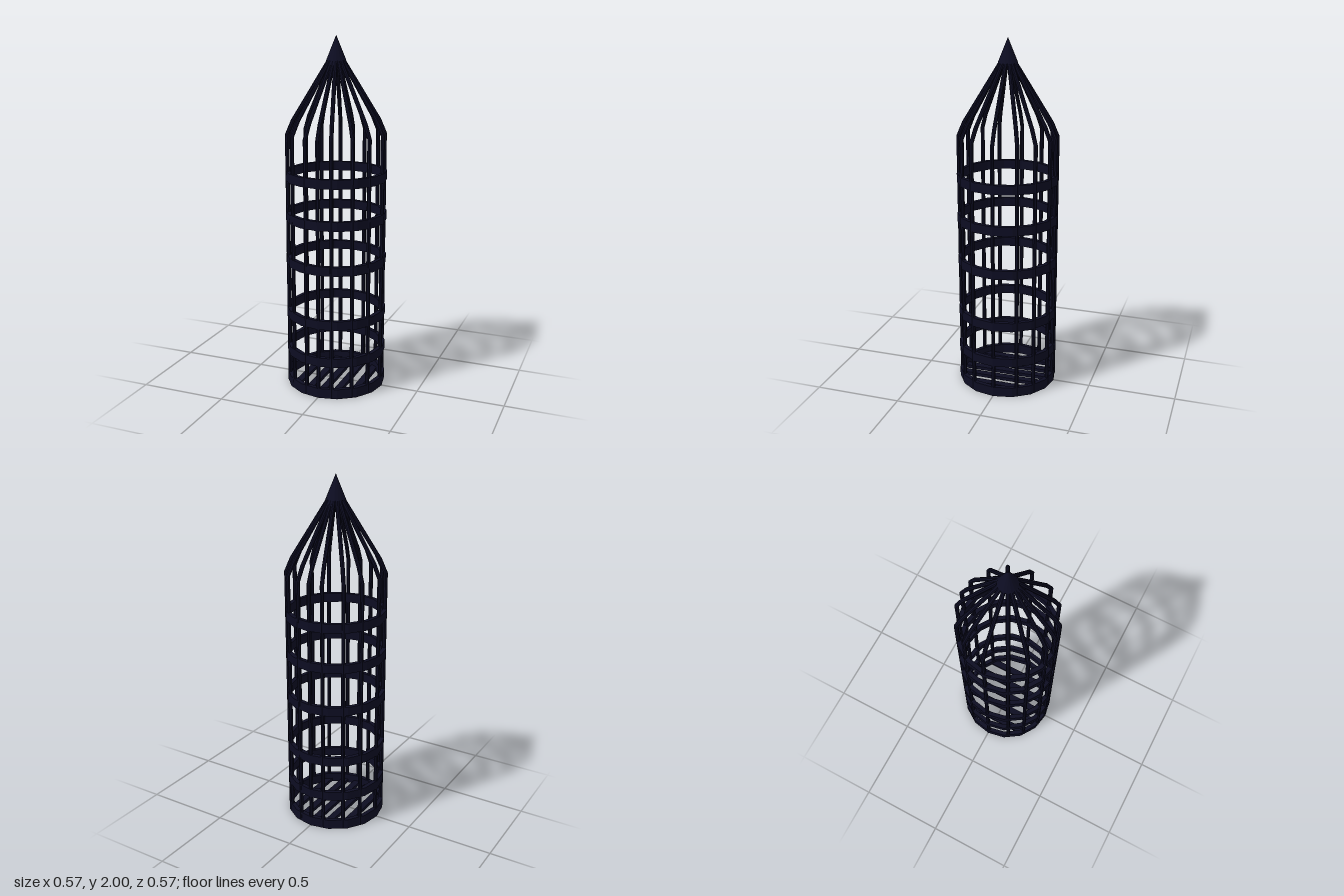
import * as THREE from 'three';

const RING_R = 0.285, RING_INNER = 0.26, BAR_R = 0.272;

// 16-sided outline with corners on the axes
function polygon(PathType, radius) {
  const path = new PathType();
  for (let i = 0; i < 16; i++) {
    const a = (i * Math.PI) / 8;
    path[i ? 'lineTo' : 'moveTo'](radius * Math.cos(a), radius * Math.sin(a));
  }
  path.closePath();
  return path;
}

// flat band lying around the y axis, base at y = 0
function ringGeometry(height) {
  const shape = polygon(THREE.Shape, RING_R);
  shape.holes.push(polygon(THREE.Path, RING_INNER));
  return new THREE.ExtrudeGeometry(shape, { depth: height, bevelEnabled: false })
    .rotateX(-Math.PI / 2);
}

// upright bar that bends inward to the apex; each row is [radius, y, radial stretch]
function barGeometry() {
  const rows = [[BAR_R, 0.005, 1], [BAR_R, 1.465, 1.05], [0.237, 1.545, 1.15], [0.012, 1.91, 1.15]];
  const r = 0.0115, n = rows.length - 1;
  const geo = new THREE.CylinderGeometry(r, r, n, 8, n);
  const p = geo.attributes.position;
  for (let i = 0; i < p.count; i++) {
    const [radius, y, stretch] = rows[Math.round(p.getY(i) + n / 2)];
    p.setXYZ(i, radius + p.getX(i) * stretch, y, p.getZ(i));
  }
  geo.computeVertexNormals();
  return geo;
}

export function createModel() {
  const group = new THREE.Group();
  group.name = 'cage';
  const iron = new THREE.MeshStandardMaterial({ color: 0x0d0d22, flatShading: true });
  iron.name = 'dark iron';

  const add = (name, geometry, y = 0) => {
    const mesh = new THREE.Mesh(geometry, iron);
    mesh.name = name;
    mesh.position.y = y;
    group.add(mesh);
    return mesh;
  };

  // base ring and hoops
  add('baseRing', ringGeometry(0.057));
  const hoop = ringGeometry(0.052);
  [0.216, 0.437, 0.75, 1.003, 1.234].forEach((y, i) => add('hoop' + (i + 1), hoop, y - 0.026));

  // sixteen bars, slightly unevenly spaced in each quarter
  const bar = barGeometry();
  const quarter = [16, 40, 62, 90];
  const angles = [
    ...quarter, ...quarter.slice(0, 3).map((a) => 180 - a), 180,
    ...quarter.map((a) => -a), ...quarter.slice(0, 3).map((a) => a - 180), 0,
  ];
  angles.forEach((a, i) => {
    add('bar' + (i + 1), bar).rotation.y = THREE.MathUtils.degToRad(a - 90);
  });

  // floor slats running front to back
  [-0.172, -0.08, 0, 0.08, 0.172].forEach((x, i) => {
    const length = 2 * Math.sqrt(0.27 ** 2 - x * x);
    add('floorSlat' + (i + 1), new THREE.BoxGeometry(0.04, 0.02, length), 0.012).position.x = x;
  });

  // pointed cap
  add('cap', new THREE.ConeGeometry(0.055, 0.135, 16), 1.9325);

  return group;
}
